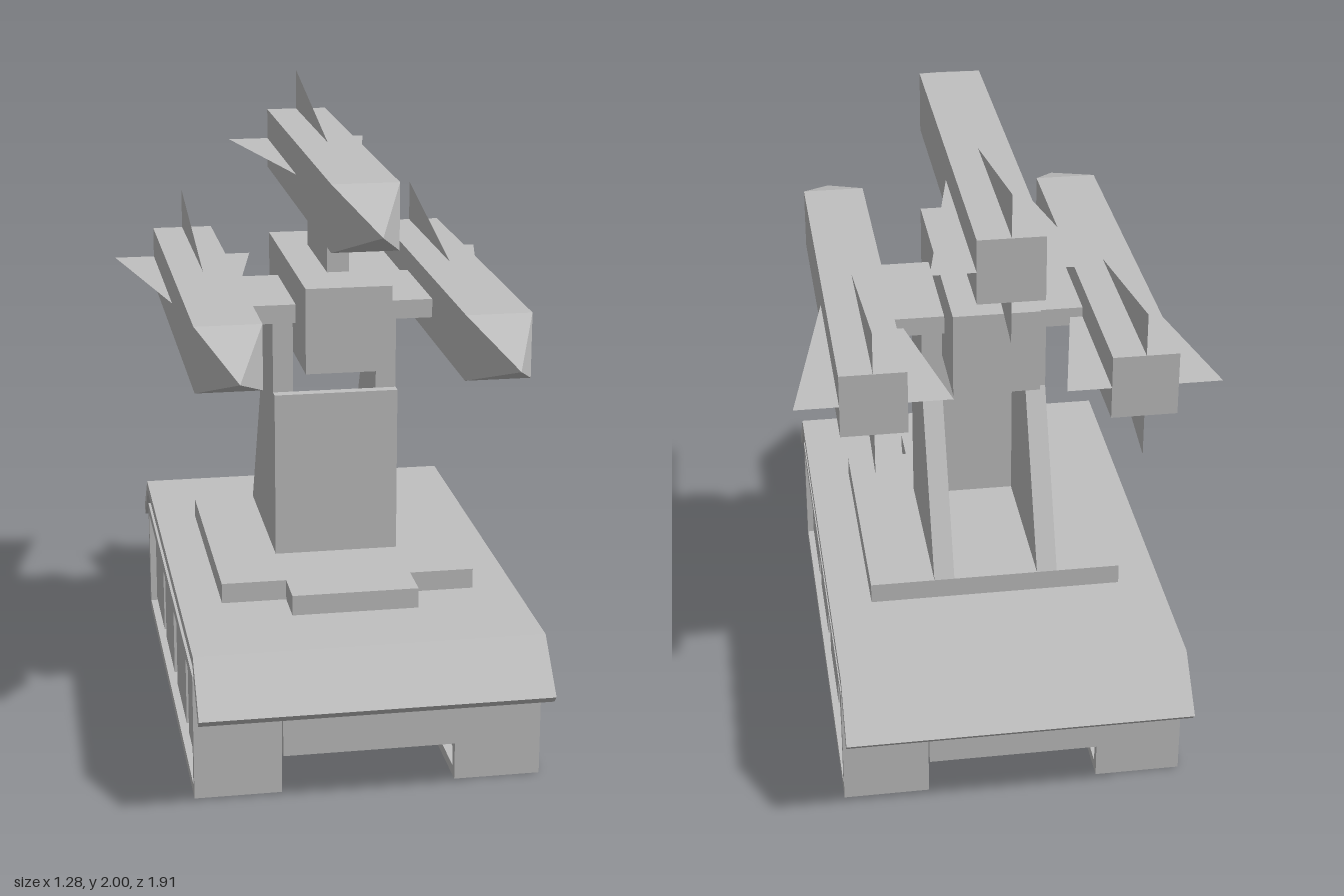
import * as THREE from 'three';

export function createModel() {
  const model = new THREE.Group();
  model.name = 'missileLauncher';
  const grey = new THREE.MeshStandardMaterial({ color: 0xc0c0c0, flatShading: true, side: THREE.DoubleSide });
  grey.name = 'plain grey';

  const add = (name, geometry, parent = model) => {
    const mesh = new THREE.Mesh(geometry, grey);
    mesh.name = name;
    parent.add(mesh);
    return mesh;
  };
  // Box given by its limits on each axis
  const box = (name, [x0, x1], [y0, y1], [z0, z1], parent) => {
    const g = new THREE.BoxGeometry(x1 - x0, y1 - y0, z1 - z0);
    g.translate((x0 + x1) / 2, (y0 + y1) / 2, (z0 + z1) / 2);
    return add(name, g, parent);
  };
  const points = (list) => list.map(([a, b]) => new THREE.Vector2(a, b));
  // Side profile of [z, y] points, extruded from x0 to x1
  const profile = (name, [x0, x1], outline, hole) => {
    const shape = new THREE.Shape(points(outline));
    if (hole) shape.holes.push(new THREE.Path(points(hole)));
    const g = new THREE.ExtrudeGeometry(shape, { depth: x1 - x0, bevelEnabled: false });
    g.rotateY(-Math.PI / 2);
    g.translate(x1, 0, 0);
    return add(name, g);
  };
  const rect = (z, y0, y1) => [[-z, y0], [z, y0], [z, y1], [-z, y1]];
  const span = (side, a, b) => (side > 0 ? [a, b] : [-b, -a]);

  // Hull and the deck with sloping end flaps
  box('hull', [-0.27, 0.27], [0.135, 0.445], [-0.81, 0.81]);
  profile('deck', [-0.54, 0.54], [
    [-0.81, 0.48], [-0.955, 0.335], [-0.93, 0.31], [-0.796, 0.445],
    [0.796, 0.445], [0.93, 0.31], [0.955, 0.335], [0.81, 0.48],
  ]);

  // Turntable plate with its front step
  box('turntable', [-0.405, 0.405], [0.48, 0.545], [-0.405, 0.405]);
  box('turntableStep', [-0.2, 0.2], [0.48, 0.545], [0.405, 0.54]);

  // Pedestal front and launcher block
  box('pedestalFront', [-0.2, 0.2], [0.545, 1.085], [0.135, 0.17]);
  box('launcherBlock', [-0.135, 0.135], [1.22, 1.49], [-0.405, 0.405]);
  box('topRail', [-0.035, 0.035], [1.49, 1.665], [-0.2, 0.2]);

  for (const side of [-1, 1]) {
    // Hollow track loop with four blocks inside
    profile('track', span(side, 0.27, 0.54), rect(0.78, 0, 0.405), rect(0.75, 0.033, 0.372));
    for (const z of [0.58, 0.205, -0.2, -0.575]) {
      box('wheelBlock', span(side, 0.29, 0.52), [0.052, 0.36], [z - 0.152, z + 0.152]);
    }
    // Pedestal side plate rising to the launcher block
    profile('pedestalSide', span(side, 0.135, 0.2), [
      [0.135, 0.545], [0.135, 1.33], [-0.135, 1.33], [-0.135, 1.085], [-0.405, 0.545],
    ]);
    box('sideRail', span(side, 0.135, 0.305), [1.33, 1.39], [-0.2, 0.2]);
  }

  // Missile: square body, pyramid nose and four thin tail fins
  const makeMissile = (name, x, y) => {
    const missile = new THREE.Group();
    missile.name = name;
    const r = 0.101;
    box('missileBody', [-r, r], [-r, r], [-0.675, 0.675], missile);
    const nose = new THREE.ConeGeometry(r * Math.SQRT2, 0.275, 4, 1, true);
    nose.rotateY(Math.PI / 4);
    nose.rotateX(Math.PI / 2);
    nose.translate(0, 0, 0.8125);
    add('missileNose', nose, missile);
    for (let i = 0; i < 4; i++) {
      const fin = new THREE.ShapeGeometry(new THREE.Shape(points([[0, r], [-0.675, r], [-0.675, 0.236]])));
      fin.rotateY(-Math.PI / 2);
      fin.rotateZ((i * Math.PI) / 2);
      add('tailFin', fin, missile);
    }
    missile.position.set(x, y, 0);
    model.add(missile);
  };
  makeMissile('topMissile', 0, 1.764);
  makeMissile('leftMissile', 0.405, 1.358);
  makeMissile('rightMissile', -0.405, 1.358);

  return model;
}
